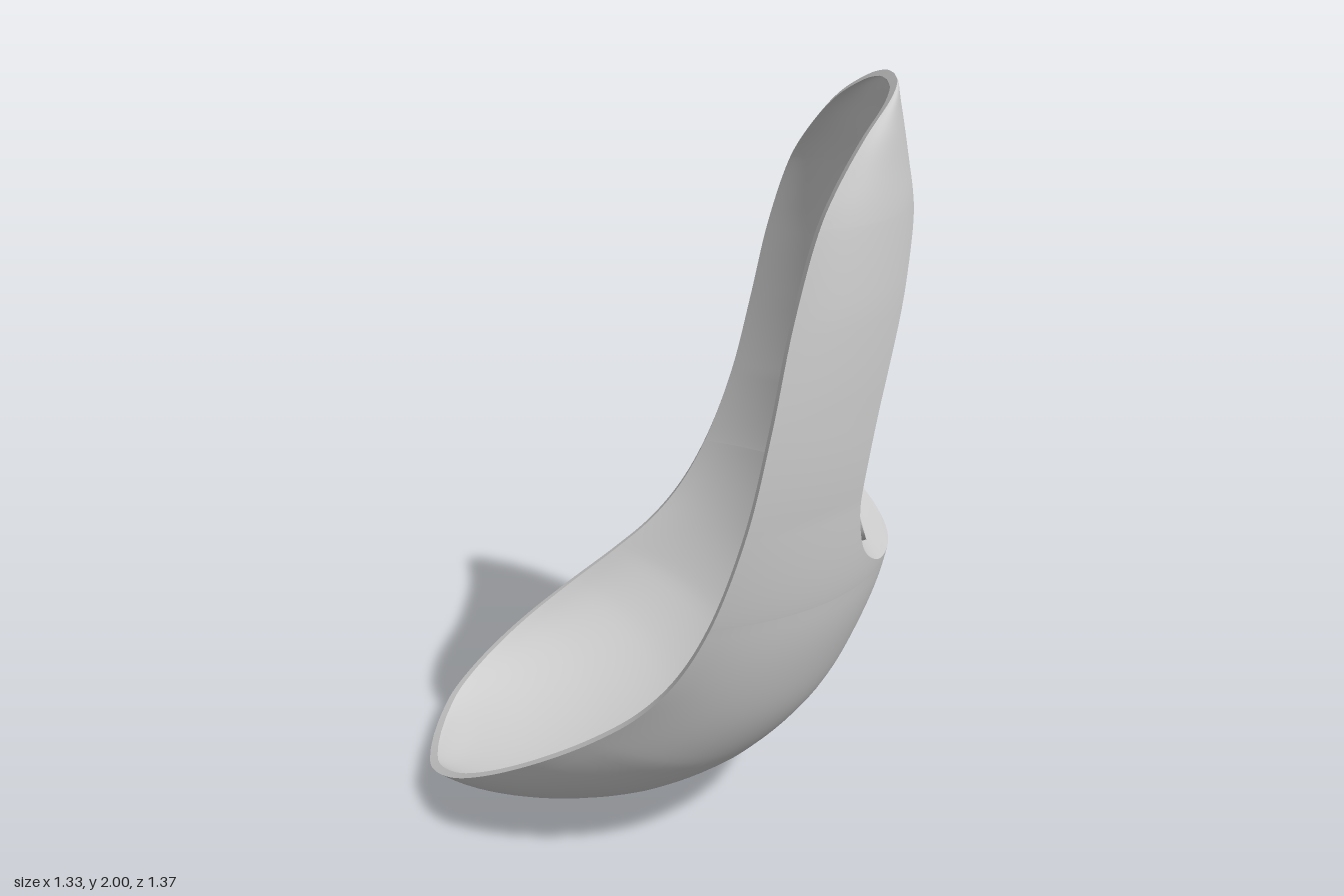
import * as THREE from 'three';
import { mergeVertices } from 'three/addons/utils/BufferGeometryUtils.js';

const V = (x, y, z = 0) => new THREE.Vector3(x, y, z);
const material = new THREE.MeshStandardMaterial({ color: 0xcccccc, side: THREE.DoubleSide });

// Stations from top to toe: rim point (x, y, half width), spine point (x, y), start angle of the arc
const stations = [
  [0.605, 2.0, 0, 0.605, 2.0, 0],
  [0.597, 1.993, 0.13, 0.607, 1.993, 0],
  [0.565, 1.965, 0.255, 0.612, 1.965, 0],
  [0.5, 1.9, 0.375, 0.626, 1.9, 0],
  [0.432, 1.8, 0.462, 0.645, 1.8, 0],
  [0.387, 1.71, 0.516, 0.661, 1.71, 1],
  [0.328, 1.5, 0.59, 0.677, 1.5, 5],
  [0.28, 1.25, 0.646, 0.678, 1.25, 14],
  [0.225, 1.0, 0.675, 0.67, 1.0, 20],
  [0.14, 0.755, 0.685, 0.645, 0.74, 17],
  [0.055, 0.6, 0.674, 0.585, 0.55, 9],
  [-0.04, 0.49, 0.65, 0.485, 0.355, 2],
  [-0.155, 0.4, 0.616, 0.315, 0.185, -5],
  [-0.3, 0.305, 0.559, 0.095, 0.065, -6],
  [-0.45, 0.21, 0.47, -0.145, 0.009, -4],
  [-0.56, 0.137, 0.363, -0.36, 0.0, 0],
  [-0.637, 0.085, 0.226, -0.557, 0.027, 5],
  [-0.661, 0.065, 0.105, -0.64, 0.052, 10],
  [-0.667, 0.06, 0, -0.667, 0.06, 10],
];
const last = stations.length - 1;
const rimCurve = new THREE.CatmullRomCurve3(stations.map((s) => V(s[0], s[1], s[2])));
const spineCurve = new THREE.CatmullRomCurve3(stations.map((s) => V(s[3], s[4])));
const TOP = 5 / last, BOTTOM = 9 / last; // recess limits along the shell

// Half outline of the recess as (half width, height)
const outline = new THREE.CatmullRomCurve3([
  [0, 1.71], [0.12, 1.69], [0.25, 1.6], [0.37, 1.4], [0.435, 1.2], [0.455, 1.02],
  [0.44, 0.92], [0.4, 0.84], [0.3, 0.775], [0.15, 0.747], [0, 0.74],
].map(([z, y]) => V(z, y)));

// Position along the spine at a given height, within the recess
function spineAt(y) {
  let a = TOP, b = BOTTOM;
  for (let i = 0; i < 30; i++) {
    const m = (a + b) / 2;
    if (spineCurve.getPoint(m).y > y) a = m; else b = m;
  }
  return (a + b) / 2;
}

// Half cross-section running from the rim to the recess edge or the centre line
function halfSection(t, edgeZ) {
  const r = rimCurve.getPoint(t), s = spineCurve.getPoint(t);
  const k = Math.min(Math.floor(t * last), last - 1);
  const a0 = THREE.MathUtils.degToRad(
    THREE.MathUtils.lerp(stations[k][5], stations[k + 1][5], t * last - k));
  const width = Math.max(r.z, 0);
  const end = edgeZ > 0 ? Math.acos(Math.min(1, edgeZ / width * Math.cos(a0))) : Math.PI / 2;
  const pts = [];
  for (let j = 0; j <= 20; j++) {
    const a = a0 + (end - a0) * j / 20;
    const f = (Math.sin(a) - Math.sin(a0)) / (1 - Math.sin(a0));
    pts.push(V(r.x + (s.x - r.x) * f, r.y + (s.y - r.y) * f, width * Math.cos(a) / Math.cos(a0)));
  }
  return pts;
}

const mirror = (p) => V(p.x, p.y, -p.z);

// Inner skin: move points towards the middle of the bowl
const inset = (p) => p.clone().add(V(0.1, 0.6 * p.y + 0.35).sub(p).setLength(0.024));

// Smooth surface through rows of points; skip leaves out one column of faces
function surface(name, rows, flip = false, skip = -1) {
  const n = rows[0].length, index = [];
  for (let i = 0; i < rows.length - 1; i++) {
    for (let j = 0; j < n - 1; j++) {
      if (j === skip) continue;
      const a = i * n + j, b = a + n, c = a + 1, d = b + 1;
      if (flip) index.push(a, c, b, c, d, b);
      else index.push(a, b, c, c, b, d);
    }
  }
  let g = new THREE.BufferGeometry().setFromPoints(rows.flat());
  g.setIndex(index);
  g = mergeVertices(g, 1e-4);
  g.computeVertexNormals();
  const mesh = new THREE.Mesh(g, material);
  mesh.name = name;
  return mesh;
}

// Hollow round socket, closed at the inner end
function socket(side) {
  const profile = [[0, 0], [0.075, 0], [0.075, 0], [0.075, 0.145], [0.075, 0.145],
    [0.067, 0.145], [0.067, 0.145], [0.067, 0.06], [0.067, 0.06], [0, 0.06]];
  const mesh = new THREE.Mesh(
    new THREE.LatheGeometry(profile.map(([x, y]) => new THREE.Vector2(x, y)), 32), material);
  mesh.name = side > 0 ? 'leftSocket' : 'rightSocket';
  const axis = V(0.95, 0.3).normalize();
  mesh.quaternion.setFromUnitVectors(V(0, 1), axis);
  mesh.position.copy(V(0.527, 0.922, side * 0.325)).addScaledVector(axis, -0.145);
  return mesh;
}

export function createModel() {
  const group = new THREE.Group();
  group.name = 'openShell';

  // Rows above, across and below the recess
  const halves = [], recessRows = [];
  for (let i = 0; i < 32; i++) halves.push(halfSection(TOP * i / 32, 0));
  for (let i = 0; i <= 56; i++) {
    const o = outline.getPoint(i / 56);
    const edgeZ = i % 56 ? Math.max(o.x, 0) : 0;
    const half = halfSection(i === 0 ? TOP : i === 56 ? BOTTOM : spineAt(o.y), edgeZ);
    halves.push(half);
    // Dished panel between the two recess edges
    const e = half[20], row = [];
    const depth = 0.04 * (edgeZ / 0.455) ** 2;
    for (let j = 0; j <= 20; j++) {
      const u = 1 - j / 10;
      row.push(V(e.x - depth * (1 - u * u), e.y, e.z * u));
    }
    recessRows.push(row);
  }
  for (let i = 1; i <= 56; i++) halves.push(halfSection(BOTTOM + (1 - BOTTOM) * i / 56, 0));

  const outer = halves.map((h) => [...h, ...h.map(mirror).reverse()]);
  group.add(surface('outerShell', outer, false, 20));
  group.add(surface('innerShell', outer.map((r) => r.map(inset)), true, 20));
  group.add(surface('recessPanel', recessRows));
  group.add(surface('recessPanelInside', recessRows.map((r) => r.map(inset)), true));

  // Rim band joining the two skins
  const rim = halves.map((h) => [h[0], inset(h[0])]);
  group.add(surface('leftRim', rim, true));
  group.add(surface('rightRim', rim.map((r) => r.map(mirror))));

  for (const side of [1, -1]) group.add(socket(side));
  return group;
}
